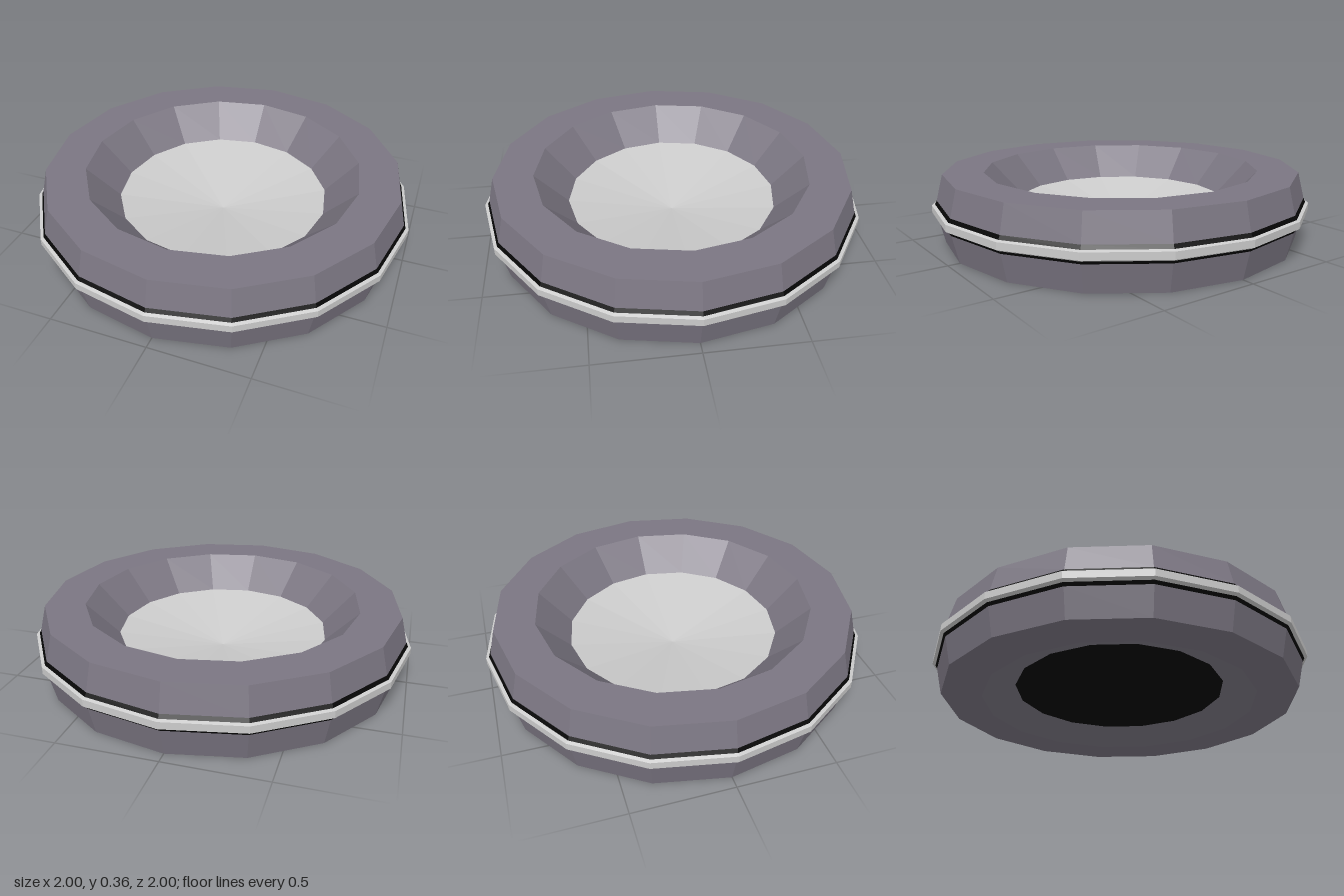
import * as THREE from 'three';

const SIDES = 16;

// Turned, faceted part; profile runs counter-clockwise as [radius, height]
function turned(name, color, profile) {
  const points = profile.map(([r, y]) => new THREE.Vector2(r, y));
  const material = new THREE.MeshStandardMaterial({ color, flatShading: true });
  const mesh = new THREE.Mesh(new THREE.LatheGeometry(points, SIDES), material);
  mesh.name = name;
  return mesh;
}

export function createModel() {
  const group = new THREE.Group();
  group.name = 'dish';
  const bodyColor = 0x7b7682;
  const black = 0x060606;

  // Thick ring in two halves, meeting behind the trim
  group.add(turned('lowerBody', bodyColor, [
    [0.56, 0.075], [0.73, 0], [0.94, 0], [0.974, 0.142],
  ]));
  group.add(turned('upperBody', bodyColor, [
    [0.974, 0.227], [0.94, 0.363], [0.73, 0.363], [0.56, 0.19],
  ]));

  // Trim around the waist: pale band between two dark seams
  group.add(turned('lowerSeam', black, [[0.974, 0.142], [0.984, 0.157]]));
  group.add(turned('waistBand', 0xcccccc, [
    [0.984, 0.157], [1, 0.166], [1, 0.202], [0.984, 0.208],
  ]));
  group.add(turned('upperSeam', black, [[0.984, 0.208], [0.974, 0.227]]));

  // Shallow conical bowl floor and the dark plate below it
  group.add(turned('bowlFloor', 0xcccccc, [[0.56, 0.19], [0, 0.085]]));
  group.add(turned('basePlate', black, [[0, 0.075], [0.56, 0.075]]));

  return group;
}
